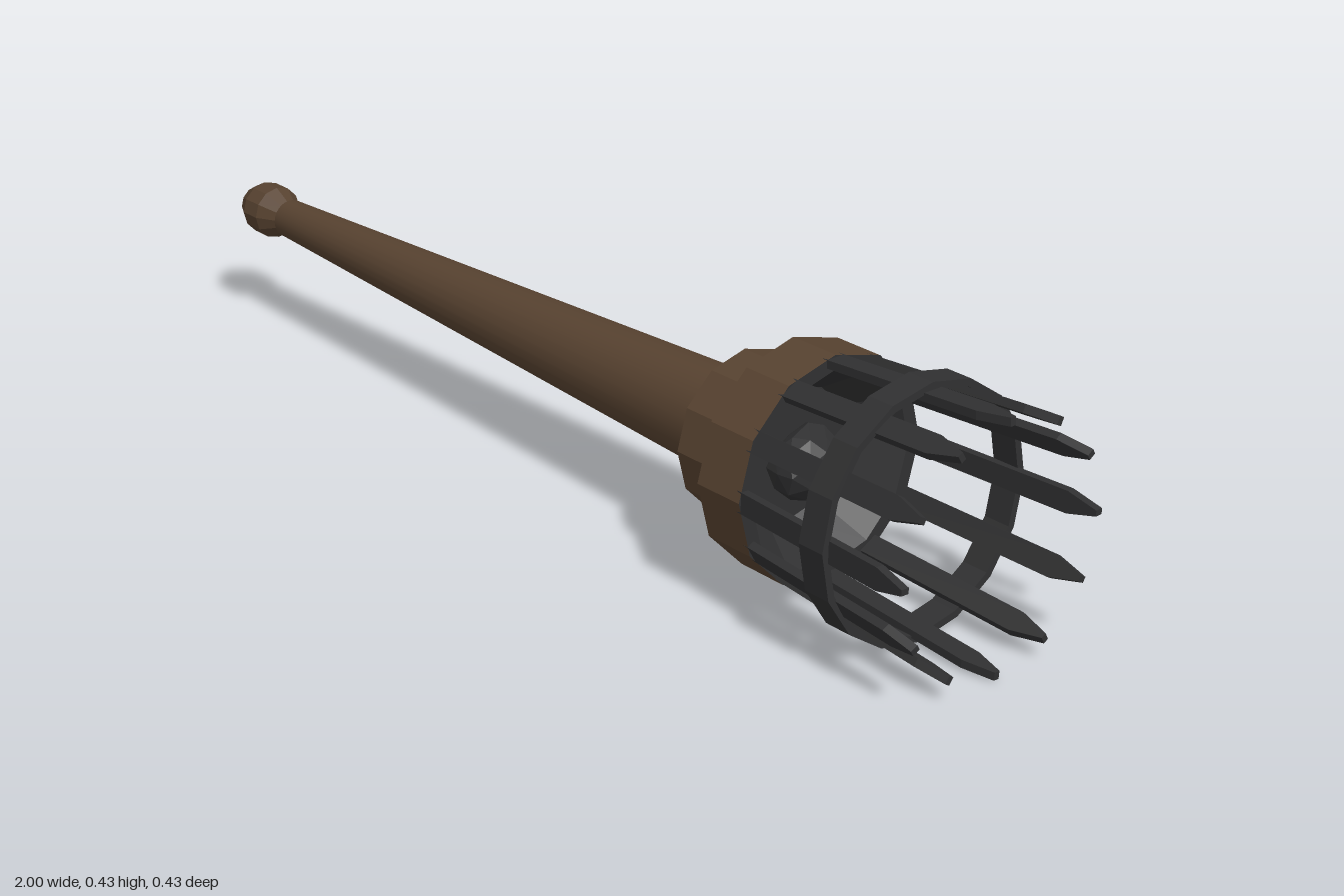
import * as THREE from 'three';

const wood = new THREE.MeshStandardMaterial({ color: 0x574230 });
wood.name = 'brown wood';
const iron = new THREE.MeshStandardMaterial({ color: 0x303031 });
iron.name = 'dark iron';
const ironBand = new THREE.Vector2(0.002, 0.025); // lift and width of the thin bands

// Gives every face its own normal
function faceted(geometry) {
  const g = geometry.index ? geometry.toNonIndexed() : geometry;
  g.computeVertexNormals();
  return g;
}

// Faceted turned part; profile is [radius, height] pairs, outside going up
function turned(profile, sides) {
  return faceted(new THREE.LatheGeometry(profile.map(([r, h]) => new THREE.Vector2(r, h)), sides));
}

function add(parent, name, geometry, material) {
  const mesh = new THREE.Mesh(geometry, material);
  mesh.name = name;
  parent.add(mesh);
  return mesh;
}

export function createModel() {
  const model = new THREE.Group();
  model.name = 'torch';

  // Built upright around its axis, then laid along x
  const torch = new THREE.Group();
  torch.name = 'torchBody';
  torch.rotation.z = -Math.PI / 2;
  torch.position.y = 0.218;
  model.add(torch);

  // Pommel
  add(torch, 'pommel', turned([
    [0, -1], [0.035, -1], [0.051, -0.968], [0.051, -0.925], [0.03, -0.885], [0.03, -0.87],
  ], 12), wood);

  // Tapered handle
  const handle = new THREE.CylinderGeometry(0.089, 0.037, 1.32, 24);
  handle.translate(0, -0.22, 0);
  add(torch, 'handle', handle, wood);

  // Band where the handle meets the head
  const band = new THREE.CylinderGeometry(0.091, 0.089, ironBand.y, 24, 1, true);
  band.translate(0, 0.4175, 0);
  add(torch, 'handleBand', band, iron);

  // Stepped head
  add(torch, 'lowerCollar', turned([[0, 0.43], [0.14, 0.43], [0.14, 0.54]], 12), wood);
  add(torch, 'upperCollar', turned([[0, 0.54], [0.195, 0.54], [0.195, 0.635]], 12), wood);

  // Worn iron strip on the lower collar, upper back side only
  const strip = new THREE.CylinderGeometry(0.14 + ironBand.x, 0.14 + ironBand.x, ironBand.y,
    4, 1, true, Math.PI * 11 / 12 + Math.PI / 12, Math.PI * 2 / 3);
  strip.translate(0, 0.5275, 0);
  add(torch, 'collarStrip', faceted(strip), iron);

  // Hollow fire cup: rim, sloping wall and floor
  add(torch, 'fireCup', turned([[0.195, 0.635], [0.17, 0.635], [0.113, 0.55], [0, 0.55]], 12), iron);

  // Charred lump, an uneven faceted ball
  const lump = new THREE.IcosahedronGeometry(0.065, 1);
  const p = lump.attributes.position;
  for (let i = 0; i < p.count; i++) {
    const x = p.getX(i), y = p.getY(i), z = p.getZ(i);
    const k = 1 + 0.2 * Math.sin(x * 90 + z * 47) * Math.cos(y * 70 - z * 60);
    p.setXYZ(i, x * k + 0.008, y * k * 0.8, z * k);
  }
  lump.translate(0, 0.58, 0);
  add(torch, 'charredLump', faceted(lump), iron);

  // Cage hoop
  add(torch, 'cageHoop', turned([
    [0.204, 0.79], [0.217, 0.79], [0.217, 0.84], [0.204, 0.84], [0.204, 0.79],
  ], 16), iron);

  // Twelve pointed bars, leaning slightly outward
  const outline = new THREE.Shape([
    [-0.018, 0], [0.018, 0], [0.019, 0.34], [0.005, 0.395], [-0.005, 0.395], [-0.019, 0.34],
  ].map(([x, y]) => new THREE.Vector2(x, y)));
  const bar = new THREE.ExtrudeGeometry(outline, { depth: 0.014, bevelEnabled: false });
  bar.rotateX(0.065);
  bar.translate(0, 0.606, 0.175);
  const bars = new THREE.Group();
  bars.name = 'cageBars';
  torch.add(bars);
  for (let i = 0; i < 12; i++) {
    add(bars, 'cageBar', bar, iron).rotation.y = i * Math.PI / 6;
  }

  return model;
}
